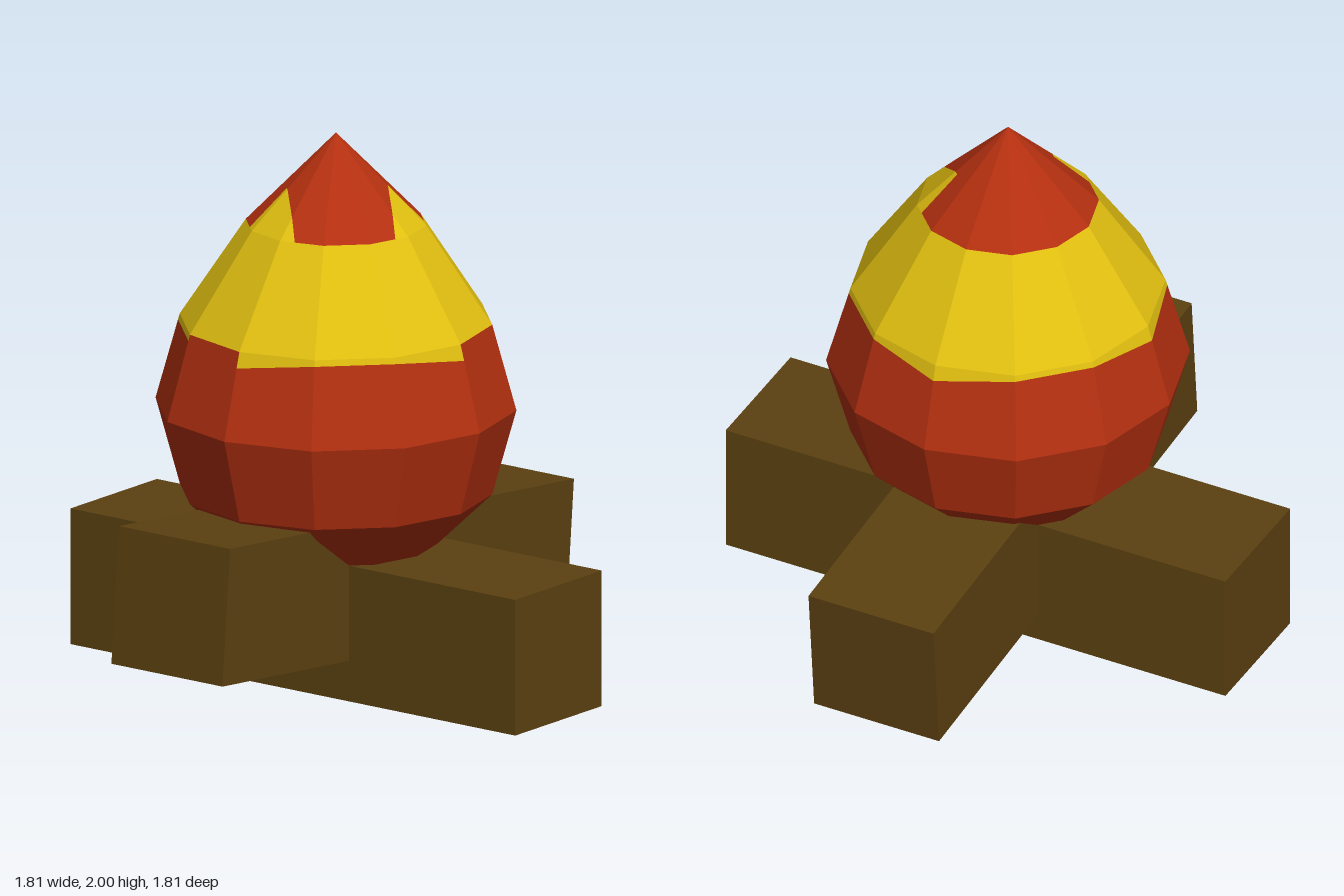
import * as THREE from 'three';

const red = new THREE.MeshStandardMaterial({ name: 'flame red', color: 0xb43010 });
const yellow = new THREE.MeshStandardMaterial({ name: 'flame yellow', color: 0xe2c010 });
const brown = new THREE.MeshStandardMaterial({ name: 'log brown', color: 0x5c4111 });

const SIDES = 12;
const R = 0.625 / Math.cos(Math.PI / SIDES);

// Point on the flame: k counts corners round from the front, r is a fraction of the full radius
function ringPoint(k, [r, y]) {
  const a = ((k - 0.5) * 2 * Math.PI) / SIDES;
  return new THREE.Vector3(R * r * Math.sin(a), y, R * r * Math.cos(a));
}

// Keeps the part of a convex polygon where f(point) >= 0
function clip(poly, f) {
  const out = [];
  poly.forEach((p, i) => {
    const q = poly[(i + 1) % poly.length];
    const a = f(p), b = f(q);
    if (a >= 0) out.push(p);
    if ((a > 0 && b < 0) || (a < 0 && b > 0)) out.push(p.clone().lerp(q, a / (a - b)));
  });
  return out;
}

// Flat-shaded mesh from convex polygons
function facets(name, polys, material) {
  const pts = [];
  for (const p of polys) {
    for (let i = 1; i < p.length - 1; i++) pts.push(p[0], p[i], p[i + 1]);
  }
  const geometry = new THREE.BufferGeometry().setFromPoints(pts);
  geometry.computeVertexNormals();
  const mesh = new THREE.Mesh(geometry, material);
  mesh.name = name;
  return mesh;
}

function createFlame() {
  // Rings from base to tip: [radius fraction, height]
  const bottom = [0, 0.375], low = [0.5, 0.459], mid = [0.866, 0.6875];
  const belly = [1, 1], shoulder = [0.866, 1.3125], neck = [0.5, 1.67], tip = [0, 2];
  const body = [], band = [], cap = [];
  const quad = (k, lo, hi, lo2 = lo, hi2 = hi) =>
    [ringPoint(k, lo), ringPoint(k + 1, lo2), ringPoint(k + 1, hi2), ringPoint(k, hi)];

  // Scalloped lower edge of the yellow band, lowest at the diagonal corners
  const edge = (k) => {
    const y = k % 3 === 2 ? 1.255 : 1.29;
    return [THREE.MathUtils.mapLinear(y, 1, 1.3125, 1, 0.866), y];
  };

  for (let k = 0; k < SIDES; k++) {
    body.push([ringPoint(k, bottom), ringPoint(k + 1, low), ringPoint(k, low)]);
    body.push(quad(k, low, mid), quad(k, mid, belly));

    // Two panels beside the front stay red right up to the shoulder
    if (k === 2 || k === 10) {
      body.push(quad(k, belly, shoulder));
    } else {
      body.push(quad(k, belly, edge(k), belly, edge(k + 1)));
      band.push(quad(k, edge(k), shoulder, edge(k + 1), shoulder));
    }
    band.push(quad(k, shoulder, neck));

    // Red cap with a yellow notch on each front corner
    const tri = [ringPoint(k, neck), ringPoint(k + 1, neck), ringPoint(k, tip)];
    const side = tri[0].x + tri[1].x < 0 ? -1 : 1;
    const outer = clip(tri, (p) => side * p.x - 0.18);
    cap.push(clip(tri, (p) => 0.18 - side * p.x));
    cap.push(clip(outer, (p) => 0.03 - p.z));
    band.push(clip(outer, (p) => p.z - 0.03));
  }

  const flame = new THREE.Group();
  flame.name = 'flame';
  flame.add(
    facets('flameBody', body, red),
    facets('flameBand', band, yellow),
    facets('flameTip', cap, red),
  );
  flame.position.set(-0.022, 0, 0.02);
  return flame;
}

function createLog(name, position, turn, tilt) {
  const log = new THREE.Mesh(new THREE.BoxGeometry(2, 0.5, 0.5), brown);
  log.name = name;
  log.position.set(...position);
  log.rotation.set(0, turn, tilt);
  return log;
}

export function createModel() {
  const model = new THREE.Group();
  model.name = 'campfire';
  model.add(
    createLog('flatLog', [-0.022, 0.25, 0.02], -Math.PI / 4, 0),
    createLog('tiltedLog', [0.005, 0.375, -0.005], Math.PI / 4, THREE.MathUtils.degToRad(-5)),
    createFlame(),
  );
  return model;
}
